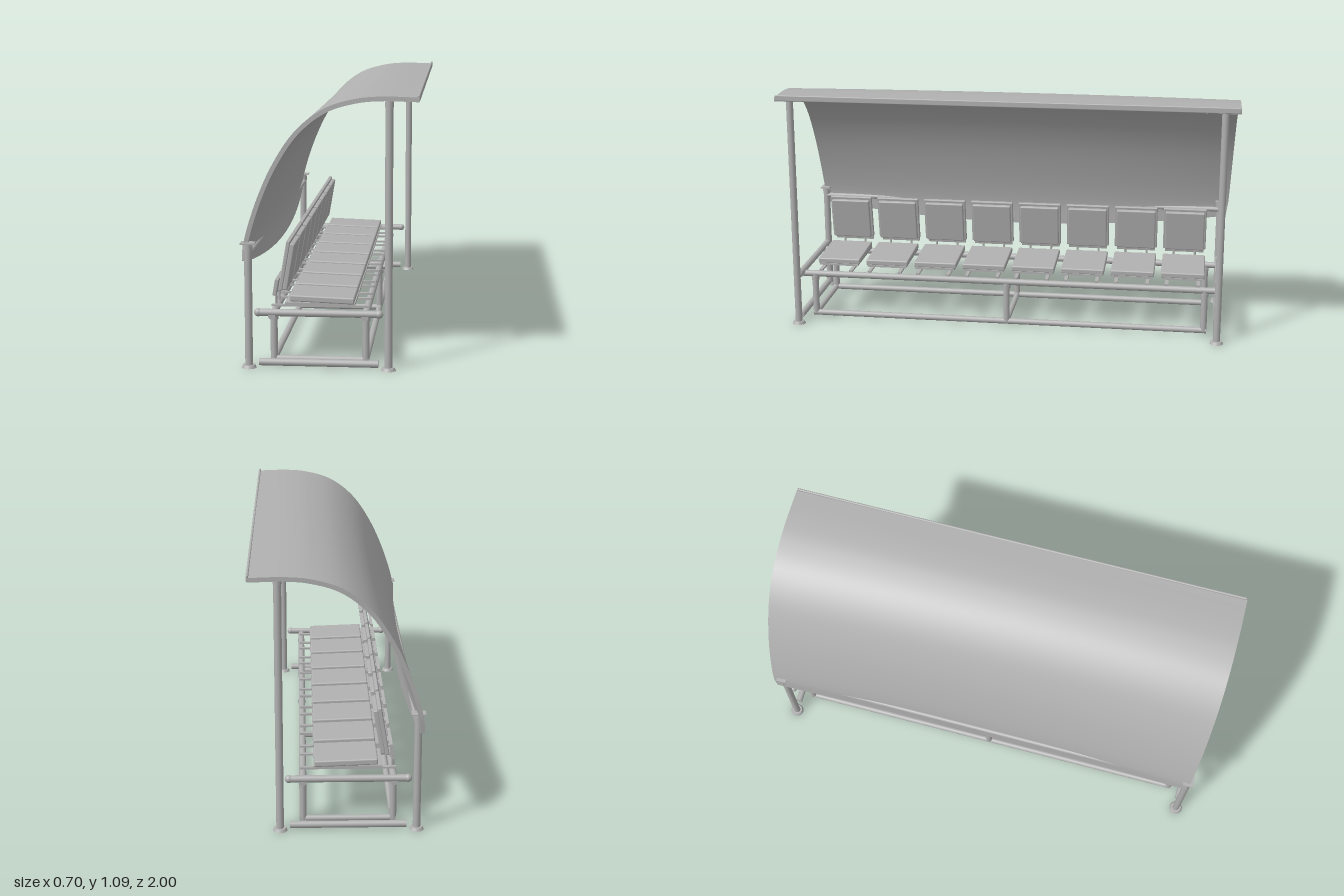
import * as THREE from 'three';
import { RoundedBoxGeometry } from 'three/addons/geometries/RoundedBoxGeometry.js';

const V = (x, y, z) => new THREE.Vector3(x, y, z);
const ZC = 0.015;        // middle of the frame along z
const POLE_Z = 0.952;    // posts, measured from ZC
const LEG_Z = 0.893;     // bench legs, measured from ZC

export function createModel() {
  const model = new THREE.Group();
  model.name = 'benchShelter';
  const grey = new THREE.MeshStandardMaterial({ color: 0xb0b0b0 });
  grey.name = 'grey';
  const sheetGrey = grey;
  sheetGrey.side = THREE.DoubleSide;

  const add = (name, geo, pos = V(0, 0, 0), parent = model) => {
    const m = new THREE.Mesh(geo, grey);
    m.name = name;
    m.position.copy(pos);
    parent.add(m);
    return m;
  };
  // round bar between two points
  const bar = (name, a, b, r, parent = model) => {
    const m = add(name, new THREE.CylinderGeometry(r, r, a.distanceTo(b), 16), a.clone().lerp(b, 0.5), parent);
    m.quaternion.setFromUnitVectors(V(0, 1, 0), b.clone().sub(a).normalize());
    return m;
  };

  // ---- Canopy: profile at the ends blends to the profile in the middle
  const profile = pts => new THREE.CatmullRomCurve3(pts.map(([x, y]) => V(x, y, 0)), false, 'centripetal');
  const endCurve = profile([[-0.347, 0.43], [-0.34, 0.5], [-0.292, 0.66], [-0.22, 0.82], [-0.13, 0.95],
    [-0.02, 1.035], [0.1, 1.073], [0.2, 1.083], [0.345, 1.08]]);
  const midCurve = profile([[-0.317, 0.365], [-0.313, 0.48], [-0.272, 0.65], [-0.208, 0.815], [-0.122, 0.95],
    [-0.015, 1.038], [0.1, 1.08], [0.2, 1.091], [0.345, 1.087]]);
  const THICK = 0.018, NU = 48, NV = 32;
  const surface = (u, v, depth) => {
    const s = 2 * v - 1, k = s * s;
    const p = midCurve.getPoint(u).lerp(endCurve.getPoint(u), k);
    const t = midCurve.getTangent(u).lerp(endCurve.getTangent(u), k).normalize();
    const half = 1 - 0.035 * (1 - u) ** 2.5;
    return V(p.x + t.y * depth, p.y - t.x * depth, s * half);
  };
  const grid = (fn, nu, nv) => {
    const pos = [], idx = [];
    for (let i = 0; i <= nu; i++) {
      for (let j = 0; j <= nv; j++) pos.push(...fn(i / nu, j / nv).toArray());
    }
    for (let i = 0; i < nu; i++) {
      for (let j = 0; j < nv; j++) {
        const a = i * (nv + 1) + j, b = a + nv + 1;
        idx.push(a, a + 1, b, b, a + 1, b + 1);
      }
    }
    const g = new THREE.BufferGeometry();
    g.setAttribute('position', new THREE.Float32BufferAttribute(pos, 3));
    g.setIndex(idx);
    g.computeVertexNormals();
    return g;
  };
  const canopy = new THREE.Group();
  canopy.name = 'canopy';
  model.add(canopy);
  const flip = g => {
    g.setIndex(Array.from(g.index.array).reverse());
    g.computeVertexNormals();
    return g;
  };
  const origin = V(0, 0, 0);
  add('canopyOuter', flip(grid((u, v) => surface(u, v, 0), NU, NV)), origin, canopy);
  add('canopyInner', grid((u, v) => surface(u, v, THICK), NU, NV), origin, canopy);
  for (const e of [0, 1]) {
    const side = grid((u, w) => surface(u, e, w * THICK), NU, 1);
    const edge = grid((w, v) => surface(e, v, w * THICK), 1, NV);
    add('canopySideEdge', e ? flip(side) : side, origin, canopy);
    add('canopyLongEdge', e ? edge : flip(edge), origin, canopy);
  }
  // raised lip on the front edge
  add('frontLip', new RoundedBoxGeometry(0.01, 0.026, 1.996, 2, 0.004), V(0.343, 1.077, 0));

  // ---- Posts, feet, end arms and end base bars
  for (const s of [1, -1]) {
    const z = ZC + s * POLE_Z;
    for (const [name, x, top] of [['frontPost', 0.23, 1.07], ['rearPost', -0.323, 0.5]]) {
      bar(name, V(x, 0.01, z), V(x, top, z), 0.0155);
      add('foot', new THREE.CylinderGeometry(0.024, 0.03, 0.012, 24), V(x, 0.006, z));
      add('postCollar', new THREE.CylinderGeometry(0.018, 0.018, 0.022, 16), V(x, top - 0.02, z));
    }
    // clamp holding the canopy corner
    add('clampPlate', new THREE.BoxGeometry(0.058, 0.006, 0.045), V(-0.323, 0.502, z));
    bar('clampArm', V(-0.335, 0.5, z), V(-0.338, 0.435, z), 0.009);

    bar('endArm', V(-0.285, 0.225, z), V(0.195, 0.225, z), 0.0145);
    for (const x of [-0.285, 0.193]) add('armEnd', new THREE.SphereGeometry(0.0165, 16, 12), V(x, 0.225, z));
    bar('endBaseBar', V(-0.282, 0.024, z), V(0.19, 0.024, z), 0.0145);
  }

  // ---- Long rails of the canopy
  const alongZ = (name, x, y, half, r) => bar(name, V(x, y, ZC - half), V(x, y, ZC + half), r);
  alongZ('frontCanopyRail', 0.23, 1.053, POLE_Z, 0.011);
  alongZ('rearCanopyRail', -0.318, 0.462, POLE_Z, 0.011);

  // ---- Bench frame
  for (const x of [-0.23, 0.137]) {
    alongZ('benchRail', x, 0.213, POLE_Z + 0.012, 0.0145);
    alongZ('benchBaseRail', x, 0.024, LEG_Z + 0.012, 0.0135);
    for (const k of [-1, 0, 1]) {
      const z = ZC + k * LEG_Z;
      bar('benchLeg', V(x, 0.024, z), V(x, 0.21, z), 0.0145);
      add('legCollar', new THREE.CylinderGeometry(0.0175, 0.0175, 0.016, 16), V(x, 0.192, z));
    }
  }
  for (const k of [-1, 0, 1]) {
    const z = ZC + k * LEG_Z;
    bar('crossBaseBar', V(-0.23, 0.024, z), V(0.137, 0.024, z), 0.0125);
  }

  // ---- Eight seats with tilted pads and backs
  for (let i = 0; i < 8; i++) {
    const seat = new THREE.Group();
    seat.name = 'seat';
    seat.position.z = 0.0145 + (i - 3.5) * 0.2263;
    model.add(seat);

    const pad = add('seatPad', new RoundedBoxGeometry(0.258, 0.026, 0.196, 2, 0.006), V(-0.039, 0.264, 0), seat);
    pad.rotation.z = -0.035;
    add('seatPlate', new THREE.BoxGeometry(0.28, 0.009, 0.18), V(-0.047, 0.245, 0), seat);
    for (const s of [-1, 1]) {
      add('seatStrap', new THREE.BoxGeometry(0.39, 0.008, 0.016), V(-0.048, 0.234, s * 0.07), seat);
    }

    const back = new THREE.Group();
    back.name = 'seatBack';
    back.position.set(-0.184, 0.398, 0);
    back.rotation.z = -0.17;
    seat.add(back);
    add('backPad', new RoundedBoxGeometry(0.02, 0.19, 0.18, 2, 0.005), V(0.012, -0.003, 0), back);
    add('backShell', new RoundedBoxGeometry(0.016, 0.205, 0.198, 2, 0.004), V(-0.005, 0, 0), back);
    const bracket = add('backBracket', new THREE.BoxGeometry(0.013, 0.065, 0.18), V(-0.226, 0.308, 0), seat);
    bracket.rotation.z = -0.17;
    add('bracketLink', new THREE.BoxGeometry(0.03, 0.014, 0.04), V(-0.21, 0.322, 0), seat);
    for (const s of [-1, 1]) bar('backRod', V(-0.228, 0.215, s * 0.05), V(-0.228, 0.29, s * 0.05), 0.005, seat);
  }
  return model;
}
